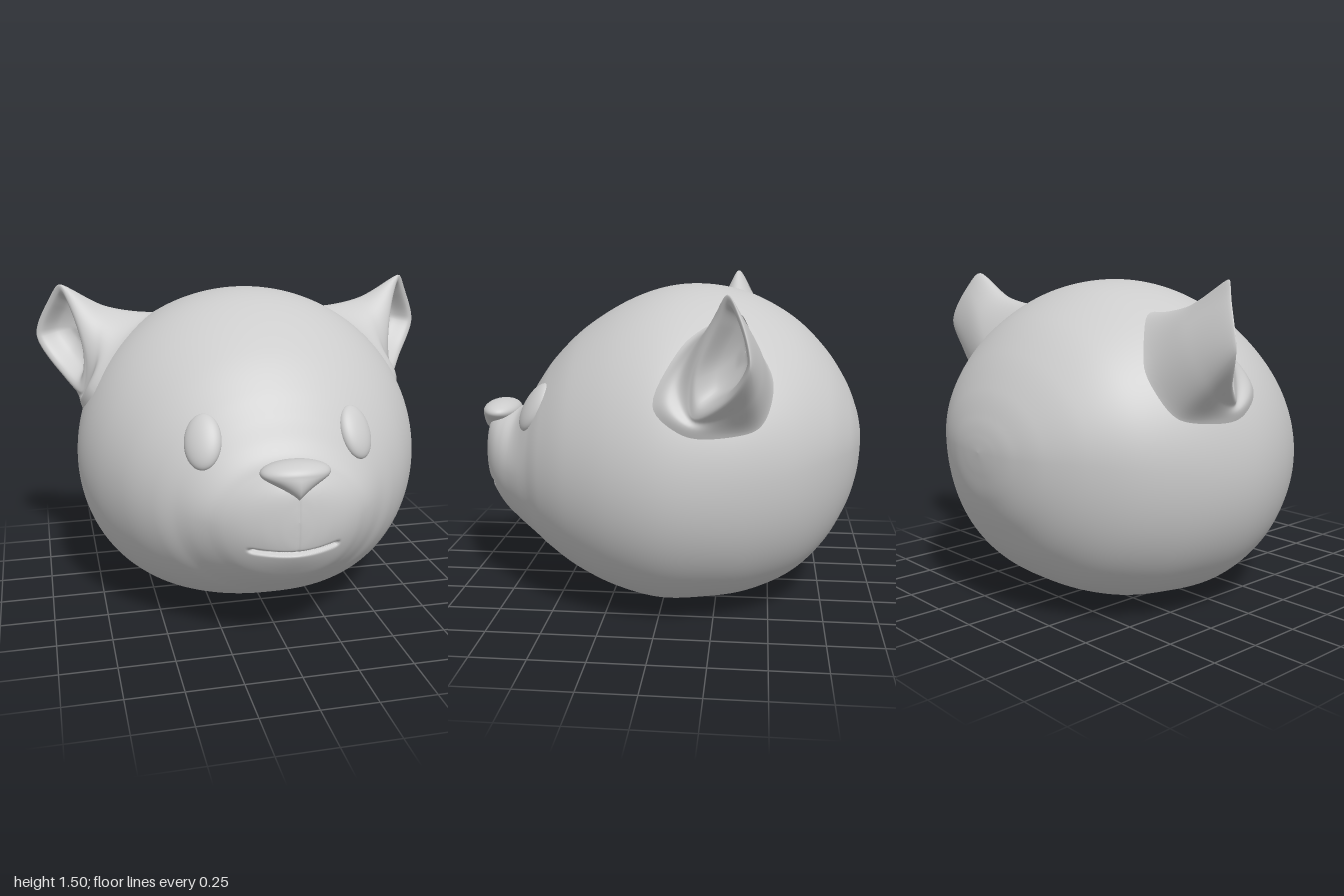
import * as THREE from 'three';

// Smooth surface through rows of points; every row is a closed ring
function gridSurface(rows, flip = false) {
  const n = rows[0].length, pos = [], idx = [];
  rows.forEach(r => r.forEach(p => pos.push(p.x, p.y, p.z)));
  for (let i = 0; i < rows.length - 1; i++) {
    for (let j = 0; j < n; j++) {
      const a = i * n + j, b = i * n + (j + 1) % n, c = a + n, d = b + n;
      if (flip) idx.push(a, b, c, b, d, c);
      else idx.push(a, c, b, b, c, d);
    }
  }
  const g = new THREE.BufferGeometry();
  g.setAttribute('position', new THREE.Float32BufferAttribute(pos, 3));
  g.setIndex(idx);
  g.computeVertexNormals();
  return g;
}

// Head stations from muzzle to back: z, top, bottom, half width, widest height
const STATIONS = [
  [0.915, 0.66, 0.66, 0, 0.66], [0.911, 0.72, 0.59, 0.045, 0.65],
  [0.902, 0.78, 0.53, 0.09, 0.65], [0.88, 0.82, 0.48, 0.155, 0.64],
  [0.84, 0.845, 0.42, 0.23, 0.63], [0.79, 0.86, 0.36, 0.295, 0.62],
  [0.73, 0.875, 0.31, 0.355, 0.62], [0.68, 0.93, 0.275, 0.405, 0.62],
  [0.62, 1.03, 0.235, 0.465, 0.63], [0.54, 1.14, 0.185, 0.555, 0.64],
  [0.4, 1.275, 0.11, 0.67, 0.66], [0.2, 1.4, 0.04, 0.78, 0.67],
  [0, 1.47, 0, 0.835, 0.68], [-0.2, 1.48, 0.01, 0.83, 0.69],
  [-0.4, 1.435, 0.04, 0.78, 0.72], [-0.6, 1.325, 0.125, 0.675, 0.74],
  [-0.75, 1.18, 0.26, 0.53, 0.76], [-0.85, 1.03, 0.42, 0.37, 0.76],
  [-0.9, 0.91, 0.55, 0.23, 0.76], [-0.92, 0.83, 0.66, 0.12, 0.76],
  [-0.928, 0.76, 0.76, 0, 0.76],
];

function headGeometry() {
  const rings = 240, sides = 192, rows = [];
  const curves = [1, 2, 3, 4].map(k =>
    new THREE.SplineCurve(STATIONS.map(s => new THREE.Vector2(s[0], s[k]))));
  for (let i = 0; i <= rings; i++) {
    const pts = curves.map(c => c.getPoint(i / rings));
    const z0 = pts[0].x, [top, bottom, w, mid] = pts.map(p => p.y);
    // Fuller jowls below the widest line, fading towards the muzzle
    const lower = 1 - 0.26 * THREE.MathUtils.smoothstep(0.9 - z0, 0, 0.7);
    const row = [];
    for (let j = 0; j < sides; j++) {
      const a = (j / sides) * Math.PI * 2, c = Math.cos(a), s = Math.sin(a);
      const x = w * Math.sign(c) * Math.abs(c) ** (s < 0 ? lower : 1);
      const y = mid + s * (s > 0 ? top - mid : mid - bottom);
      let z = z0;
      if (z > 0.7) {
        // Mouth slit and the fine groove under the nose
        const slit = Math.exp(-(((y - 0.515 - 0.3 * x * x) / 0.009) ** 2));
        z -= 0.032 * slit * (1 - THREE.MathUtils.smoothstep(Math.abs(x), 0.17, 0.21));
        if (y > 0.52 && y < 0.8) z -= 0.003 * Math.exp(-((x / 0.007) ** 2));
      }
      row.push(new THREE.Vector3(x, y, z));
    }
    rows.push(row);
  }
  return gridSurface(rows);
}

// Ear loops run top, back, bottom, front
const EAR_BASE = [[0.42, 1.33, -0.3], [0.55, 1.14, -0.46], [0.65, 1.04, -0.48], [0.72, 0.95, -0.43],
  [0.77, 0.93, -0.3], [0.78, 0.95, -0.15], [0.72, 1.04, -0.05], [0.55, 1.24, -0.14]];
const EAR_MID = [[0.66, 1.39, -0.31], [0.74, 1.31, -0.42], [0.82, 1.18, -0.45], [0.87, 1.09, -0.42],
  [0.84, 1.01, -0.32], [0.8, 0.98, -0.17], [0.74, 1.12, -0.11], [0.69, 1.32, -0.2]];
const EAR_RIM = [[0.875, 1.5, -0.31], [0.93, 1.42, -0.36], [0.99, 1.29, -0.4], [0.995, 1.23, -0.4],
  [0.9, 1.08, -0.31], [0.8, 1.0, -0.17], [0.77, 1.15, -0.16], [0.825, 1.4, -0.26]];

function earGeometry(side) {
  const center = new THREE.Vector3(0.885, 1.25, -0.29);
  const root = new THREE.Vector3(0.64, 1.1, -0.28);
  const skull = new THREE.Vector3(0, 0.73, -0.08), radii = new THREE.Vector3(0.835, 0.745, 0.85);
  const vec = loop => loop.map(p => new THREE.Vector3(...p));
  // Base copies widened and laid on the skull so the ear flows out of it
  const skirt = (spread, height) => vec(EAR_BASE).map(p =>
    p.sub(root).multiplyScalar(spread).add(root).sub(skull).divide(radii)
      .setLength(height).multiply(radii).add(skull));
  // Rim copies shrunk and pushed in make the hollow
  const inset = (scale, depth) => vec(EAR_RIM).map(p =>
    p.sub(center).multiplyScalar(scale).add(center).add(new THREE.Vector3(-0.7, 0.15, -0.7).multiplyScalar(depth)));
  const loops = [skirt(1.25, 0.98), skirt(1, 1.02), vec(EAR_MID), vec(EAR_RIM), inset(0.84, 0.01),
    inset(0.6, 0.09), inset(0.3, 0.125), inset(0.01, 0.13)];
  const n = 64, steps = 70;
  const sampled = loops.map(l => {
    const c = new THREE.CatmullRomCurve3(l, true);
    return Array.from({ length: n }, (_, j) => c.getPoint(j / n));
  });
  const columns = Array.from({ length: n }, (_, j) =>
    new THREE.CatmullRomCurve3(sampled.map(l => l[j])));
  const rows = [];
  for (let i = 0; i <= steps; i++) {
    rows.push(columns.map(c => {
      const p = c.getPoint(i / steps);
      p.x *= side;
      return p;
    }));
  }
  return gridSurface(rows, side < 0);
}

// Rounded nose drawn down to a point in the middle
function noseGeometry() {
  const g = new THREE.SphereGeometry(1, 48, 32), p = g.attributes.position;
  for (let i = 0; i < p.count; i++) {
    const x = p.getX(i), y = p.getY(i), z = p.getZ(i);
    const pull = y < 0 ? -y * (1 - Math.abs(x)) ** 1.9 : 0;
    p.setXYZ(i, x * 0.15, y * 0.05 - pull * 0.06, z * 0.09 + pull * 0.035);
  }
  g.computeVertexNormals();
  return g;
}

export function createModel() {
  const group = new THREE.Group();
  const clay = new THREE.MeshStandardMaterial({ color: 0xcccccc });
  clay.name = 'greyClay';
  const add = (name, geometry) => {
    const mesh = new THREE.Mesh(geometry, clay);
    mesh.name = name;
    group.add(mesh);
    return mesh;
  };

  add('head', headGeometry());
  add('nose', noseGeometry()).position.set(0, 0.857, 0.838);

  for (const side of [1, -1]) {
    const label = side > 0 ? 'left' : 'right';
    add(label + 'Ear', earGeometry(side));
    // Oval eye leaning back with the face
    const eye = add(label + 'Eye', new THREE.SphereGeometry(1, 40, 28));
    eye.scale.set(0.084, 0.124, 0.045);
    eye.position.set(side * 0.34, 0.935, 0.592);
    eye.rotation.set(-0.5, side * 0.55, side * -0.18, 'YXZ');
  }
  return group;
}
